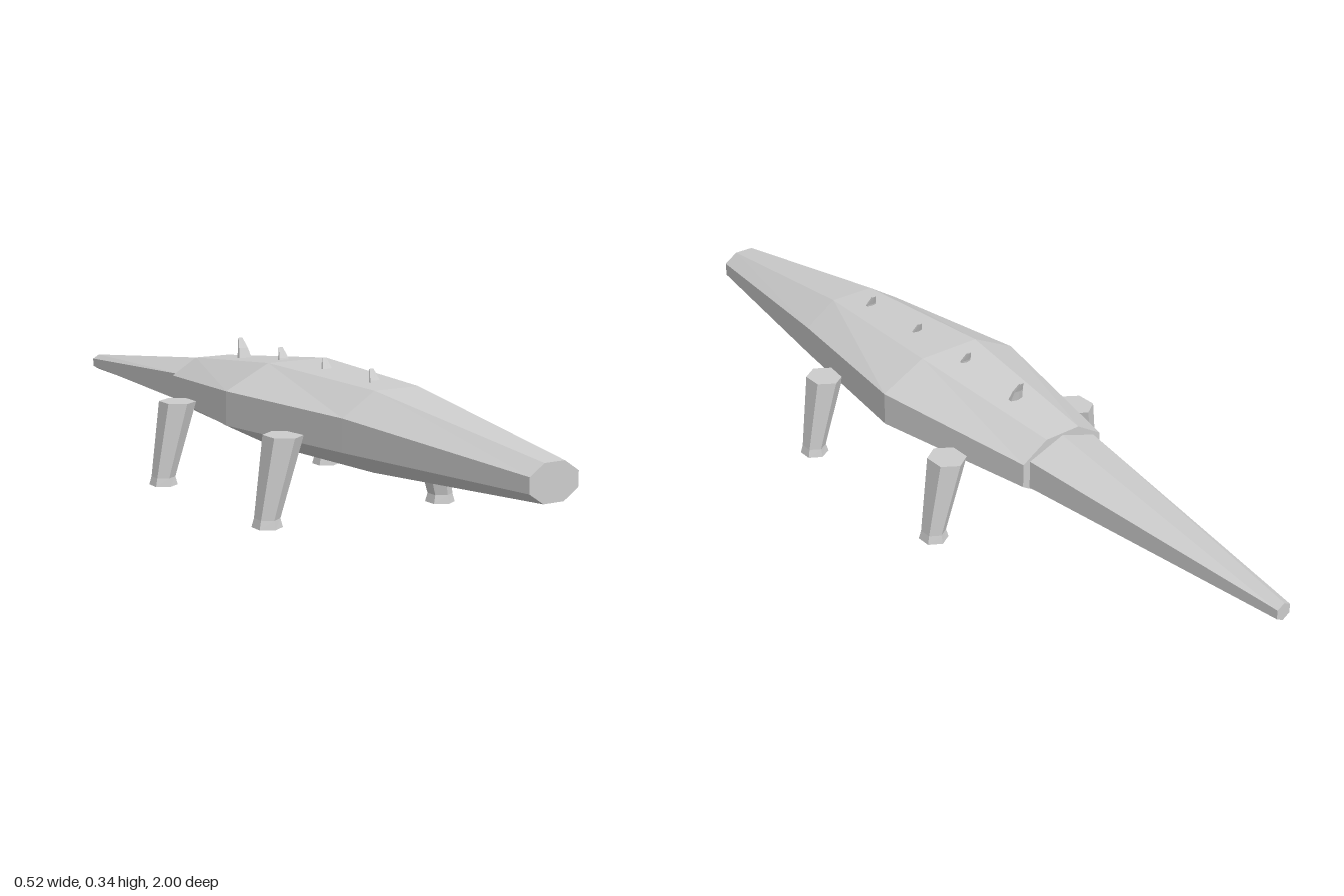
import * as THREE from 'three';

// Skin closed rings of points (ordered along the axis) and cap both ends.
function loft(rings) {
  const pos = [];
  const tri = (a, b, c) => pos.push(...a, ...b, ...c);
  const n = rings[0].length;
  for (let r = 0; r < rings.length - 1; r++) {
    for (let i = 0; i < n; i++) {
      const j = (i + 1) % n;
      const [a, b] = [rings[r], rings[r + 1]];
      tri(a[i], a[j], b[j]);
      tri(a[i], b[j], b[i]);
    }
  }
  const last = rings[rings.length - 1];
  for (let i = 1; i < n - 1; i++) {
    tri(rings[0][0], rings[0][i + 1], rings[0][i]);
    tri(last[0], last[i], last[i + 1]);
  }
  const g = new THREE.BufferGeometry();
  g.setAttribute('position', new THREE.Float32BufferAttribute(pos, 3));
  g.computeVertexNormals();
  return g;
}

// Ring in the xy plane, for parts running along z.
function ringZ(n, turn, z, y, rx, ry) {
  return Array.from({ length: n }, (_, i) => {
    const a = ((i + turn) / n) * Math.PI * 2;
    return [rx * Math.cos(a), y + ry * Math.sin(a), z];
  });
}

// Ring in the xz plane, for parts running along y, with a corner facing +z.
function ringY(n, x, y, z, rx, rz) {
  return Array.from({ length: n }, (_, i) => {
    const a = (i / n) * Math.PI * 2;
    return [x + rx * Math.sin(a), y, z + rz * Math.cos(a)];
  });
}

export function createModel() {
  const group = new THREE.Group();
  const grey = new THREE.MeshStandardMaterial({ name: 'grey', color: 0xcccccc, flatShading: true });
  const add = (name, geometry) => {
    const mesh = new THREE.Mesh(geometry, grey);
    mesh.name = name;
    group.add(mesh);
  };

  // Octagonal body: z, centre height, half width, half height
  const k8 = 1 / Math.cos(Math.PI / 8);
  add('body', loft([
    [-0.33, 0.203, 0.113, 0.069],
    [0.08, 0.219, 0.192, 0.096],
    [0.48, 0.218, 0.138, 0.089],
    [1.0, 0.2025, 0.06, 0.04],
  ].map(([z, y, w, h]) => ringZ(8, 0.5, z, y, w * k8, h * k8))));

  // Hexagonal tail with a ridge along the top
  add('tail', loft([
    ringZ(6, 0.5, -1.0, 0.169, 0.021, 0.021),
    ringZ(6, 0.5, -0.32, 0.2, 0.11, 0.068),
  ]));

  // Splayed hexagonal legs with slightly flared feet
  const k6 = 1 / Math.cos(Math.PI / 6);
  for (const [place, z] of [['front', 0.33], ['back', -0.157]]) {
    for (const [hand, s] of [['Left', 1], ['Right', -1]]) {
      add(`${place}${hand}Leg`, loft([
        ringY(6, s * 0.2325, 0, z, 0.0295 * k6, 0.035),
        ringY(6, s * 0.2325, 0.02, z, 0.0245 * k6, 0.03),
        ringY(6, s * 0.192, 0.2, z, 0.0375 * k6, 0.049),
      ]));
    }
  }

  // Small spikes along the back, leaning to the rear
  [0.39, 0.2, 0.01, -0.18].forEach((z, i) => {
    add(`backSpike${i + 1}`, loft([
      ringY(6, 0, 0.285, z + 0.015, 0.021, 0.01),
      ringY(6, 0, 0.313, z + 0.006, 0.014, 0.006),
      ringY(6, 0, 0.336, z - 0.006, 0.006, 0.003),
    ]));
  });

  return group;
}
